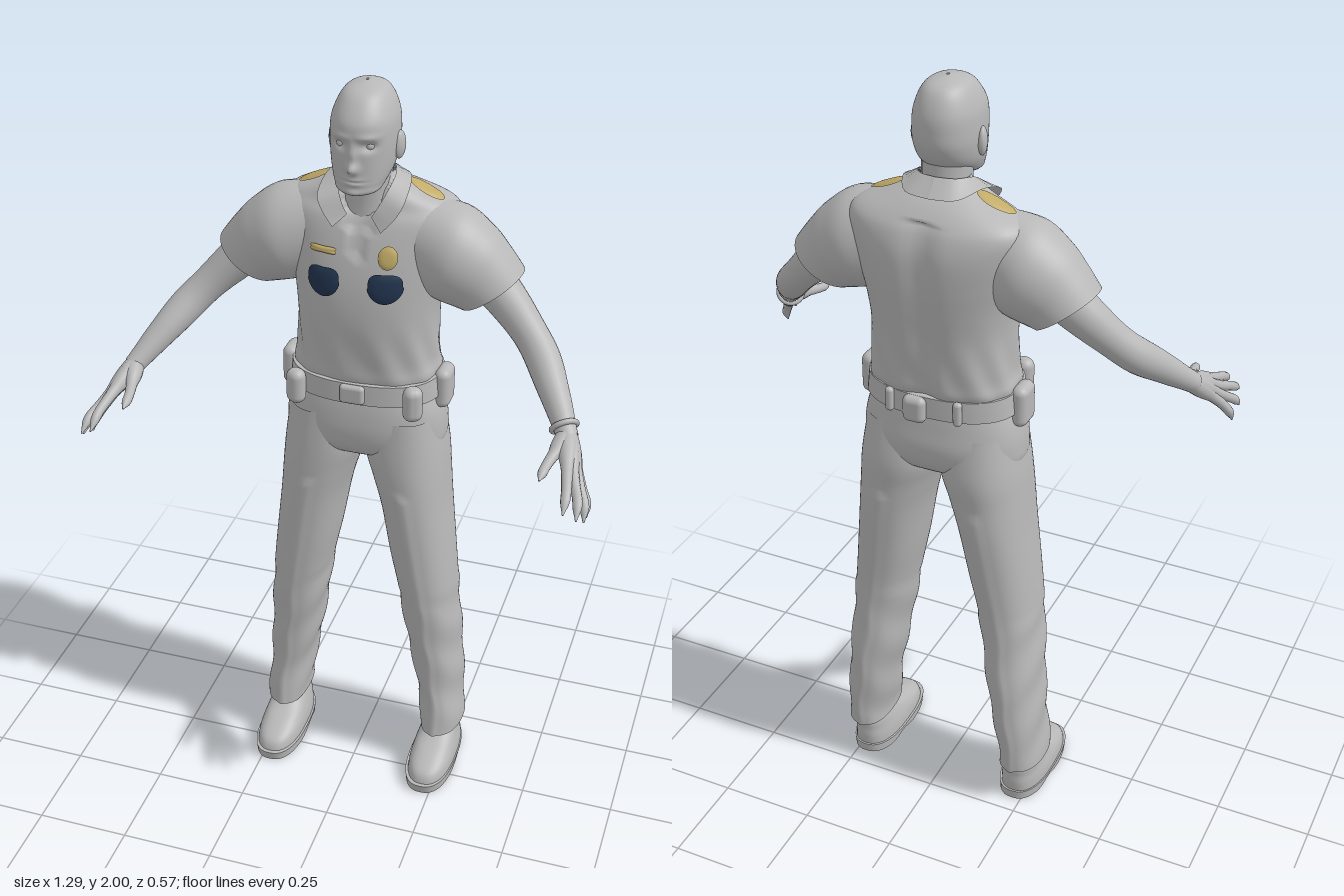
import * as THREE from 'three';
import { mergeVertices, toCreasedNormals } from 'three/addons/utils/BufferGeometryUtils.js';
import { RoundedBoxGeometry } from 'three/addons/geometries/RoundedBoxGeometry.js';

// Smooth interpolation through rows of numbers; u runs from 0 to keys.length - 1
function sample(keys, u) {
  const last = keys.length - 1, i = Math.min(Math.floor(u), last - 1), t = u - i;
  const at = k => keys[Math.max(0, Math.min(last, k))];
  const [a, b, c, d] = [at(i - 1), at(i), at(i + 1), at(i + 2)];
  return b.map((_, k) => b[k] + 0.5 * t * (c[k] - a[k]
    + t * (2 * a[k] - 5 * b[k] + 4 * c[k] - d[k] + t * (3 * (b[k] - c[k]) + d[k] - a[k]))));
}

// Closed rings joined into a skin; point(u, a) gives the surface
function skin(rows, cols, point) {
  const pos = [], idx = [];
  for (let i = 0; i <= rows; i++)
    for (let j = 0; j < cols; j++) pos.push(...point(i / rows, j / cols * Math.PI * 2));
  for (let i = 0; i < rows; i++)
    for (let j = 0; j < cols; j++) {
      const k = (j + 1) % cols, a = i * cols + j, b = a + cols, c = (i + 1) * cols + k, d = i * cols + k;
      idx.push(a, b, c, a, c, d);
    }
  const g = new THREE.BufferGeometry();
  g.setAttribute('position', new THREE.Float32BufferAttribute(pos, 3));
  g.setIndex(idx);
  g.computeVertexNormals();
  return g;
}

// Level sections from top to bottom: [y, xMin, xMax, zFront, zBack]
function body(keys, rows, cols, power, warp = p => p) {
  const e = 2 / power, pw = v => Math.sign(v) * Math.abs(v) ** e;
  return skin(rows, cols, (u, a) => {
    const [y, x0, x1, zf, zb] = sample(keys, u * (keys.length - 1));
    return warp([(x0 + x1) / 2 + (x1 - x0) / 2 * pw(Math.sin(a)), y,
      (zf + zb) / 2 + (zf - zb) / 2 * pw(Math.cos(a))], a);
  });
}
const sym = rows => rows.map(([y, w, f, b]) => [y, -w, w, f, b]);
const bump = (x, y, cx, cy, sx, sy) => Math.exp(-(((x - cx) / sx) ** 2) - ((y - cy) / sy) ** 2);

// Round limb along a curve, radii evenly spaced along its length
function limb(points, radii, rows = 24, cols = 16) {
  const curve = new THREE.CatmullRomCurve3(points.map(p => new THREE.Vector3(...p)));
  let g = new THREE.TubeGeometry(curve, rows, 1, cols);
  const pos = g.attributes.position, v = new THREE.Vector3(), keys = radii.map(r => [r]);
  for (let i = 0; i < pos.count; i++) {
    const u = Math.floor(i / (cols + 1)) / rows, c = curve.getPointAt(u);
    const r = Math.max(0.001, sample(keys, u * (radii.length - 1))[0]);
    v.fromBufferAttribute(pos, i).sub(c).multiplyScalar(r).add(c);
    pos.setXYZ(i, v.x, v.y, v.z);
  }
  g.deleteAttribute('uv'); g.deleteAttribute('normal');
  g = mergeVertices(g, 1e-6);
  g.computeVertexNormals();
  return g;
}

function mirrored(g) {
  const m = (g.index ? g.toNonIndexed() : g.clone()).scale(-1, 1, 1);
  for (const at of Object.values(m.attributes))
    for (let i = 0; i < at.count; i += 3)
      for (let k = 0; k < at.itemSize; k++) {
        const s = at.getComponent(i + 1, k);
        at.setComponent(i + 1, k, at.getComponent(i + 2, k));
        at.setComponent(i + 2, k, s);
      }
  return m;
}

export function createModel() {
  const model = new THREE.Group();
  const mat = (name, color) => Object.assign(new THREE.MeshStandardMaterial({ color, side: THREE.DoubleSide }), { name });
  const grey = mat('grey', 0xb8b8b8), navy = mat('navy', 0x22344f), gold = mat('gold', 0xc2ab68);
  const add = (name, g, m = grey) => {
    const mesh = new THREE.Mesh(g, m);
    mesh.name = name;
    model.add(mesh);
    return mesh;
  };
  const pair = (name, g, m) => [add('left' + name, g, m), add('right' + name, mirrored(g), m)];

  // Head with a modelled face, ears and neck
  add('head', body(sym([[2, .003, -.1, -.11], [1.99, .04, -.05, -.155], [1.97, .06, -.02, -.18],
    [1.93, .076, .008, -.198], [1.89, .08, .013, -.202], [1.85, .079, .012, -.198], [1.81, .073, .012, -.175],
    [1.78, .062, .012, -.13], [1.76, .048, .008, -.085], [1.747, .004, -.03, -.04]]), 90, 96, 2.2, ([x, y, z], a) => {
    if (Math.cos(a) > 0) {
      const s = Math.abs(x);
      z += .02 * bump(x, y, 0, 1.826, .013, .014) + .01 * bump(x, y, 0, 1.858, .01, .024)
        - .013 * bump(s, y, .034, 1.878, .019, .012) + .005 * bump(s, y, .035, 1.9, .026, .008)
        + .007 * bump(x, y, 0, 1.793, .022, .011) - .006 * bump(x, y, 0, 1.793, .026, .003)
        + .006 * bump(x, y, 0, 1.762, .02, .012);
    }
    return [x, y, z];
  }));
  pair('Eye', new THREE.SphereGeometry(.013, 16, 12).translate(.034, 1.877, -.016));
  pair('Ear', new THREE.SphereGeometry(1, 16, 12).scale(.012, .035, .021).rotateY(-.3).translate(.081, 1.853, -.098));
  add('neck', limb([[0, 1.64, -.125], [0, 1.74, -.115], [0, 1.86, -.11]], [.072, .062, .06, .062]));

  // Shirt with an open throat, a spine hollow and soft folds at the waist
  const torso = add('shirt', body(sym([[1.775, .062, -.07, -.172], [1.755, .08, -.07, -.185], [1.73, .13, -.065, -.22],
    [1.7, .2, -.06, -.25], [1.67, .222, -.04, -.27], [1.62, .213, -.02, -.284], [1.55, .198, 0, -.286],
    [1.48, .184, .012, -.281], [1.4, .177, .015, -.272], [1.3, .18, .008, -.266], [1.26, .188, .006, -.262],
    [1.235, .184, 0, -.25], [1.2, .17, -.01, -.24]]), 60, 96, 2.4, ([x, y, z], a) => {
    const low = Math.exp(-(((y - 1.31) / .08) ** 2));
    const fold = 1 + .018 * low * Math.sin(11 * a + 22 * y);
    if (Math.cos(a) < 0) z += .013 * Math.exp(-((x / .035) ** 2)) * (y < 1.7 ? 1 : 0);
    else if (y > 1.59 && Math.abs(x) < .42 * (y - 1.59)) z -= .012;
    return [x * fold, y, -.13 + (z + .13) * fold];
  }));

  // Short sleeves: [xTop, yTop, xBottom, yBottom, halfDepth]
  const cuffs = [[.13, 1.712, .13, 1.48, .09], [.235, 1.698, .175, 1.46, .113], [.305, 1.65, .2, 1.452, .108],
    [.35, 1.6, .22, 1.447, .098], [.387, 1.55, .24, 1.443, .092]];
  const sleeves = pair('Sleeve', skin(24, 40, (u, a) => {
    const [xt, yt, xb, yb, d] = sample(cuffs, u * (cuffs.length - 1)), c = Math.cos(a);
    return [(xt + xb + (xt - xb) * c) / 2, (yt + yb + (yt - yb) * c) / 2, -.132 - d * Math.sin(a)];
  }));

  // Folded collar: inner edge, outer edge
  const collar = [[0, 1.782, -.178, 0, 1.742, -.215], [.045, 1.78, -.165, .065, 1.745, -.203],
    [.068, 1.772, -.12, .102, 1.755, -.135], [.062, 1.745, -.07, .108, 1.725, -.052],
    [.045, 1.71, -.045, .09, 1.69, -.03], [.03, 1.685, -.04, .06, 1.657, -.018]];
  const strip = new THREE.PlaneGeometry(1, 1, 20, 1);
  for (let i = 0; i < 42; i++) {
    const p = sample(collar, (i % 21) / 4), o = i > 20 ? 3 : 0;
    strip.attributes.position.setXYZ(i, p[o], p[o + 1], p[o + 2]);
  }
  strip.computeVertexNormals();
  pair('Collar', strip);

  // Arms and hands
  pair('Arm', limb([[.2, 1.6, -.13], [.31, 1.515, -.13], [.44, 1.39, -.075], [.505, 1.315, .005], [.56, 1.245, .085]],
    [.055, .058, .052, .044, .043, .035, .026], 36, 24));
  const wrist = [.557, 1.249, .08];
  [['Thumb', [.545, 1.235, .125], [.53, 1.22, .185], [.525, 1.21, .235]],
    ['IndexFinger', [.583, 1.207, .195], [.592, 1.187, .243], [.595, 1.16, .285]],
    ['MiddleFinger', [.602, 1.19, .192], [.619, 1.17, .235], [.625, 1.143, .275]],
    ['RingFinger', [.613, 1.172, .178], [.632, 1.147, .212], [.638, 1.118, .24]],
    ['LittleFinger', [.615, 1.158, .16], [.632, 1.128, .178], [.636, 1.1, .192]],
  ].forEach(([name, ...path]) => pair(name, limb([wrist, ...path], [.024, .024, .021, .015, .013, .012, .011, .002], 24, 12)));
  const band = add('wristband', new THREE.TorusGeometry(.031, .007, 10, 32));
  band.position.set(.546, 1.262, .066);
  band.quaternion.setFromUnitVectors(new THREE.Vector3(0, 0, 1), new THREE.Vector3(.11, -.14, .16).normalize());

  // Trousers: seat and legs with a pressed front crease
  add('trouserSeat', body(sym([[1.23, .175, -.005, -.24], [1.19, .19, .004, -.248], [1.15, .203, .01, -.254],
    [1.1, .21, .012, -.26], [1.05, .205, .002, -.25], [1.02, .15, -.03, -.22], [1.0, .02, -.1, -.14]]), 24, 64, 2.4));
  pair('TrouserLeg', body([[1.14, .0, .198, 0, -.24], [1.03, .002, .214, .008, -.258], [.95, .025, .221, .01, -.255],
    [.86, .05, .228, .008, -.25], [.72, .075, .243, .002, -.235], [.6, .1, .255, -.005, -.225],
    [.48, .118, .264, -.015, -.228], [.36, .138, .272, -.026, -.237], [.25, .158, .278, -.032, -.235],
    [.16, .17, .284, -.025, -.23], [.115, .172, .286, -.02, -.225]], 60, 64, 2.3, ([x, y, z], a) => {
    const crease = y < .93 ? .006 * Math.exp(-((Math.sin(a) / .12) ** 2)) * Math.sign(Math.cos(a)) : 0;
    return [x + .003 * Math.sin(38 * y + 2 * a) * (y < .6 ? 1 : 0), y, z + crease];
  }));

  // Shoes
  pair('ShoeUpper', body([[.16, .19, .268, -.085, -.185], [.12, .185, .272, -.07, -.195], [.095, .178, .276, -.03, -.2],
    [.075, .172, .28, .025, -.2], [.05, .166, .286, .075, -.202], [.015, .163, .289, .09, -.2]], 24, 40, 2.5));
  pair('ShoeSole', toCreasedNormals(body([[.026, .165, .287, .088, -.198], [.026, .158, .292, .099, -.206],
    [0, .16, .29, .095, -.204], [0, .22, .23, -.05, -.06]], 3, 48, 2.5,
  ([x, y, z]) => [x, y < .01 ? .014 * Math.exp(-(((z + .09) / .035) ** 2)) : y, z]), .7));

  // Belt, buckle and pouches
  add('belt', toCreasedNormals(body(sym([[1.252, .17, -.01, -.235], [1.25, .194, .014, -.26], [1.195, .2, .017, -.262],
    [1.193, .17, -.01, -.235]]), 3, 64, 2.4), .7));
  const box = (w, h, d, ry, x, y, z) => new RoundedBoxGeometry(w, h, d, 4, Math.min(w, h, d) * .48).rotateY(ry).translate(x, y, z);
  add('buckle', box(.065, .052, .022, 0, 0, 1.223, .016));
  add('backPouch', box(.06, .07, .035, 0, .02, 1.215, -.262));
  pair('HipPouch', box(.042, .108, .076, 0, .202, 1.21, -.122));
  pair('FrontPouch', box(.05, .095, .045, .45, .153, 1.213, .0));
  pair('BeltKeeper', box(.022, .064, .02, -.1, .09, 1.222, -.256));

  // Thin badges moulded onto the cloth below them
  const ray = new THREE.Raycaster(), targets = [torso, ...sleeves];
  model.updateMatrixWorld(true);
  function badge(name, m, cx, cy, w, h, fromTop, tilt = 0, outline = () => 1) {
    const g = new THREE.RingGeometry(.001, 1, 40, 5), pos = g.attributes.position;
    for (let i = 0; i < pos.count; i++) {
      const x0 = pos.getX(i), y0 = pos.getY(i), rad = Math.hypot(x0, y0), s = outline(Math.atan2(y0, x0));
      const px = x0 * s * w, py = y0 * s * h, lift = .004 + .005 * (1 - rad ** 4);
      const x = cx + px * Math.cos(tilt) - py * Math.sin(tilt), y = cy + px * Math.sin(tilt) + py * Math.cos(tilt);
      if (fromTop) ray.set(new THREE.Vector3(x, 3, -y), new THREE.Vector3(0, -1, 0));
      else ray.set(new THREE.Vector3(x, y, 2), new THREE.Vector3(0, 0, -1));
      const hit = ray.intersectObjects(targets, false)[0];
      if (fromTop) pos.setXYZ(i, x, (hit ? hit.point.y : 1.72) + lift, -y);
      else pos.setXYZ(i, x, y, (hit ? hit.point.z : 0) + lift);
    }
    g.computeVertexNormals();
    add(name, g, m);
  }
  const shield = t => 1.02 + .07 * Math.sin(t) * Math.cos(2 * t) - .07 * Math.cos(4 * t) * (Math.sin(t) > 0 ? 1 : 0);
  for (const [side, s] of [['left', 1], ['right', -1]]) {
    badge(side + 'ChestShield', navy, s * .078, 1.523, .043, .037, false, 0, shield);
    badge(side + 'ShoulderPatch', gold, s * .137, .143, .047, .025, true, s > 0 ? -.15 : .05);
  }
  badge('ovalBadge', gold, .08, 1.596, .024, .028, false);
  badge('wingBadge', gold, -.083, 1.597, .038, .009, false, 0, t => 1 - .15 * Math.cos(4 * t));
  return model;
}
